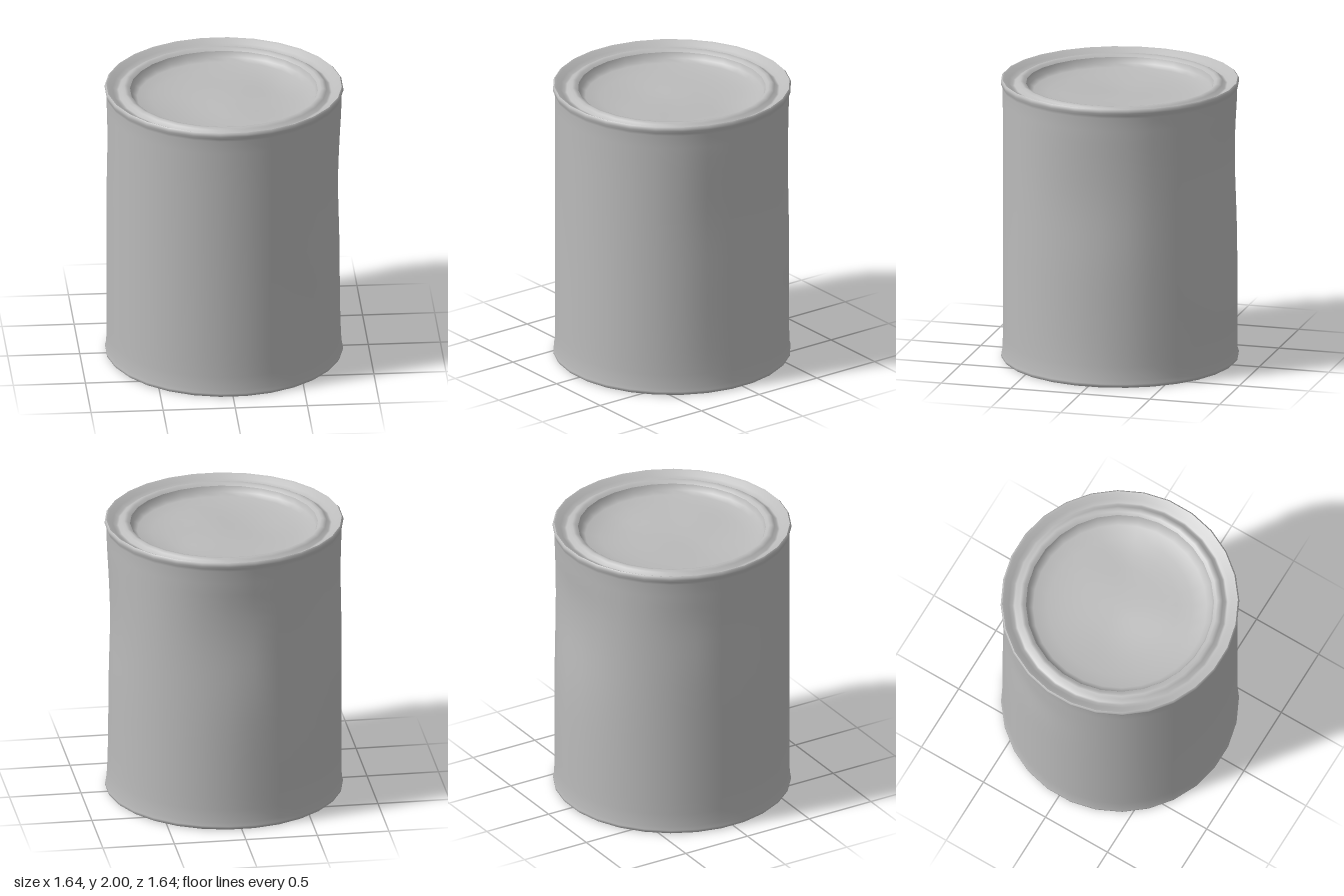
import * as THREE from 'three';
import { mergeVertices } from 'three/addons/utils/BufferGeometryUtils.js';

const SIDES = 28;

// Dents in the wall: angle from +z towards +x, height, angular spread, height spread, depth
const WALL_DENTS = [
  [3.1, 1.45, 0.45, 0.42, 0.036],
  [1.55, 1.3, 0.45, 0.42, 0.024],
  [-1.95, 1.6, 0.3, 0.28, 0.015],
  [1.57, 0.55, 0.5, 0.5, 0.012],
  [0, 1, 0.6, 1, 0.005],
];

// Dents in the lid: x, z, spread, depth
const LID_DENTS = [
  [0.42, -0.25, 0.18, 0.02],
  [-0.25, 0.1, 0.22, 0.012],
  [0.15, 0.35, 0.2, -0.012],
];

const bell = (t) => Math.exp(-t * t);

// Turned surface whose vertices are moved by a rule, with smooth normals
function turned(name, profile, material, move) {
  const points = profile.map(([r, y]) => new THREE.Vector2(r, y));
  let geo = new THREE.LatheGeometry(points, SIDES, Math.PI / SIDES);
  geo.deleteAttribute('uv');
  geo.deleteAttribute('normal');
  geo = mergeVertices(geo, 1e-4);
  if (move) {
    const p = geo.attributes.position;
    const v = new THREE.Vector3();
    for (let i = 0; i < p.count; i++) {
      move(v.fromBufferAttribute(p, i));
      p.setXYZ(i, v.x, v.y, v.z);
    }
  }
  geo.computeVertexNormals();
  const mesh = new THREE.Mesh(geo, material);
  mesh.name = name;
  return mesh;
}

function dentWall(v) {
  const angle = Math.atan2(v.x, v.z);
  let push = 0;
  for (const [a, y, spread, tall, depth] of WALL_DENTS) {
    const turn = Math.atan2(Math.sin(angle - a), Math.cos(angle - a));
    push += depth * bell(turn / spread) * bell((v.y - y) / tall);
  }
  // keep the ends round where they roll into the rims
  push *= THREE.MathUtils.clamp(Math.min((v.y - 0.05) / 0.15, (1.95 - v.y) / 0.25), 0, 1);
  const scale = 1 - push / Math.hypot(v.x, v.z);
  v.x *= scale;
  v.z *= scale;
}

function dentLid(v) {
  const hold = Math.max(0, 1 - (Math.hypot(v.x, v.z) / 0.63) ** 4);
  for (const [x, z, spread, depth] of LID_DENTS) {
    v.y -= hold * depth * bell(Math.hypot(v.x - x, v.z - z) / spread);
  }
}

export function createModel() {
  const can = new THREE.Group();
  can.name = 'tinCan';
  const metal = new THREE.MeshStandardMaterial({ color: 0xbbbbbb });
  metal.name = 'grey metal';

  // Closed underside
  can.add(turned('base', [[0, 0.01], [0.4, 0.01], [0.81, 0.003]], metal));

  // Dented wall that rolls into a rim at both ends
  const wall = [[0.81, 0.003], [0.822, 0.014], [0.823, 0.03], [0.815, 0.055]];
  for (let i = 1; i <= 20; i++) wall.push([0.813, 0.055 + 1.88 * i / 20]);
  wall.push([0.818, 0.0], [0.825, 0.0], [0.825, 0.0], [0.815, 0.0]);
  const rimHeights = [1.955, 1.972, 1.99, 2];
  rimHeights.forEach((y, i) => { wall[wall.length - 4 + i][1] = y; });
  can.add(turned('wall', wall, metal, dentWall));

  // Sloping shoulder, channel and raised ring around the lid
  can.add(turned('shoulder', [
    [0.815, 2], [0.8, 1.993], [0.77, 1.972], [0.745, 1.957], [0.73, 1.957],
    [0.71, 1.977], [0.69, 1.988], [0.67, 1.984], [0.65, 1.97],
  ], metal));

  // Sunken lid
  can.add(turned('lid', [
    [0.65, 1.97], [0.635, 1.93], [0.6, 1.91], [0.5, 1.895], [0.4, 1.888],
    [0.3, 1.885], [0.2, 1.885], [0.1, 1.885], [0, 1.885],
  ], metal, dentLid));

  return can;
}
